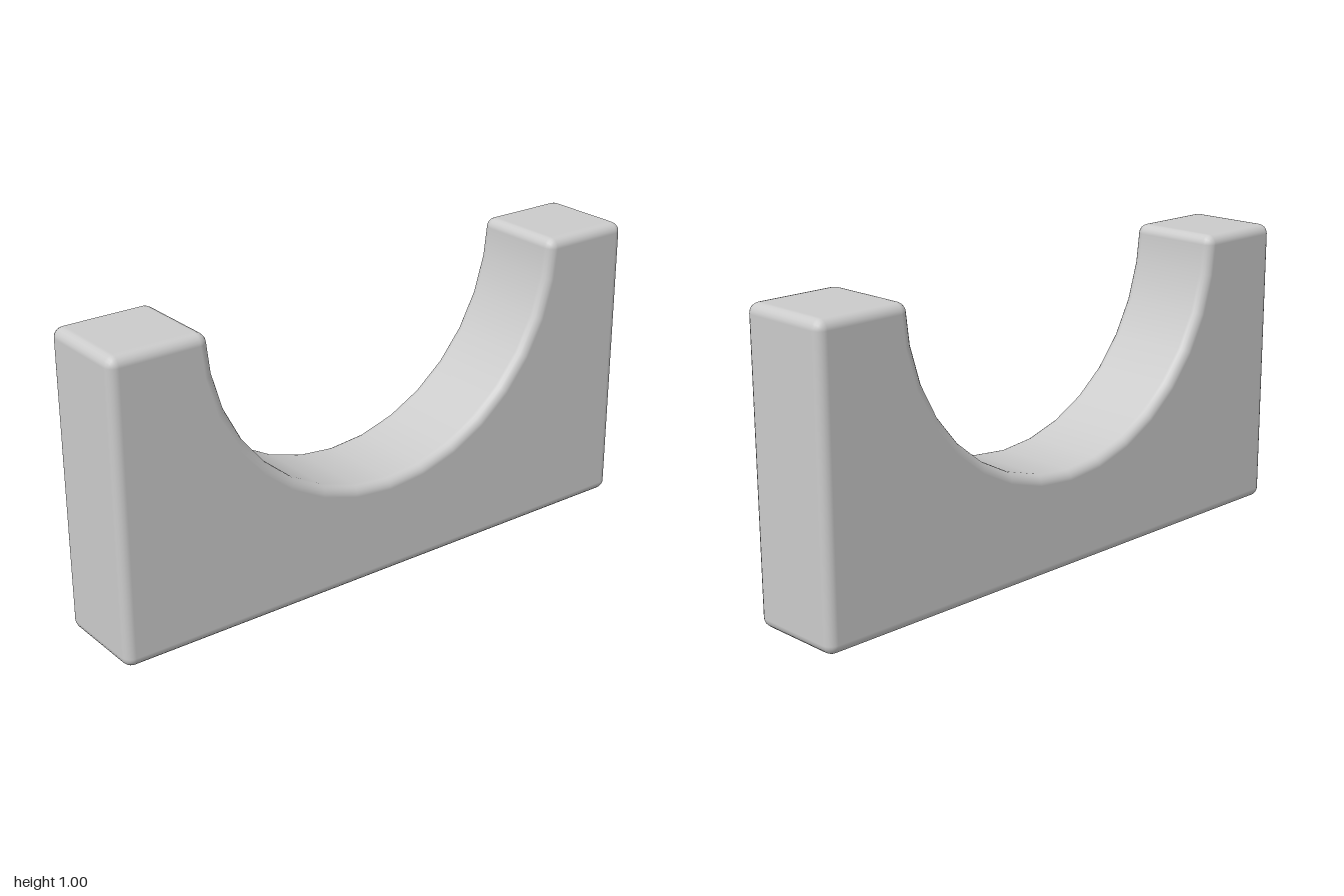
import * as THREE from 'three';

const HALF_WIDTH = 0.167, RADIUS = 0.667, ROUND = 0.033;
const ARC_STEPS = 16, ROUND_STEPS = 5;

// Side profile, inset by the edge rounding: each point keeps its outward normal angles.
function makeProfile() {
  const r = ROUND, inner = RADIUS + r, tilt = Math.asin(r / inner);
  const lip = inner * Math.cos(tilt), half = Math.PI / 2;
  const profile = [];
  const corner = (u, v, from, to) => {
    const angles = [];
    for (let i = 0; i <= ROUND_STEPS; i++) angles.push(from + (to - from) * i / ROUND_STEPS);
    profile.push({ u, v, angles });
  };
  corner(-1 + r, r, 2 * half, 3 * half);
  corner(1 - r, r, 3 * half, 4 * half);
  corner(1 - r, 1 - r, 0, half);
  corner(lip, 1 - r, half, Math.PI - tilt);
  for (let i = 1; i < ARC_STEPS; i++) {
    const a = Math.PI * i / ARC_STEPS;
    profile.push({ u: inner * Math.cos(a), v: 1 - inner * Math.sin(a), angles: [Math.PI - a] });
  }
  corner(-lip, 1 - r, tilt, half);
  corner(-1 + r, 1 - r, half, Math.PI);
  return profile;
}

function makeBlockGeometry() {
  const profile = makeProfile();
  const positions = [], normals = [], indices = [];
  const flat = HALF_WIDTH - ROUND;

  // u runs along -z, v along y and w along x
  const addVertex = (u, v, w, nu, nv, nw) => {
    positions.push(w, v, -u);
    normals.push(nw, nv, -nu);
    return positions.length / 3 - 1;
  };

  // Rounded rim: sweep a quarter circle on each side of the flat band
  const rows = [];
  for (const side of [-1, 1]) {
    for (let k = 0; k <= ROUND_STEPS; k++) {
      const t = (side < 0 ? k - ROUND_STEPS : k) / ROUND_STEPS * Math.PI / 2;
      rows.push({ out: Math.cos(t), across: Math.sin(t), w: side * flat + ROUND * Math.sin(t) });
    }
  }
  let columns = 0;
  for (const { u, v, angles } of profile) {
    for (const a of angles) {
      for (const { out, across, w } of rows) {
        const nu = Math.cos(a) * out, nv = Math.sin(a) * out;
        addVertex(u + ROUND * nu, v + ROUND * nv, w, nu, nv, across);
      }
      columns++;
    }
  }
  const n = rows.length;
  for (let i = 0; i < columns; i++) {
    const next = (i + 1) % columns;
    for (let j = 0; j < n - 1; j++) {
      const a = i * n + j, b = next * n + j;
      indices.push(a, b, b + 1, a, b + 1, a + 1);
    }
  }

  // Flat side faces
  const outline = profile.map(({ u, v }) => new THREE.Vector2(u, v));
  const faces = THREE.ShapeUtils.triangulateShape(outline, []);
  for (const side of [-1, 1]) {
    const start = positions.length / 3;
    for (const p of outline) addVertex(p.x, p.y, side * HALF_WIDTH, 0, 0, side);
    for (const [a, b, c] of faces) {
      if (side > 0) indices.push(start + a, start + b, start + c);
      else indices.push(start + a, start + c, start + b);
    }
  }

  const geometry = new THREE.BufferGeometry();
  geometry.setAttribute('position', new THREE.Float32BufferAttribute(positions, 3));
  geometry.setAttribute('normal', new THREE.Float32BufferAttribute(normals, 3));
  geometry.setIndex(indices);
  return geometry;
}

export function createModel() {
  const group = new THREE.Group();
  group.name = 'archBlock';
  const block = new THREE.Mesh(
    makeBlockGeometry(),
    new THREE.MeshStandardMaterial({ color: 0xcccccc })
  );
  block.name = 'blockWithRoundCutout';
  group.add(block);
  return group;
}
